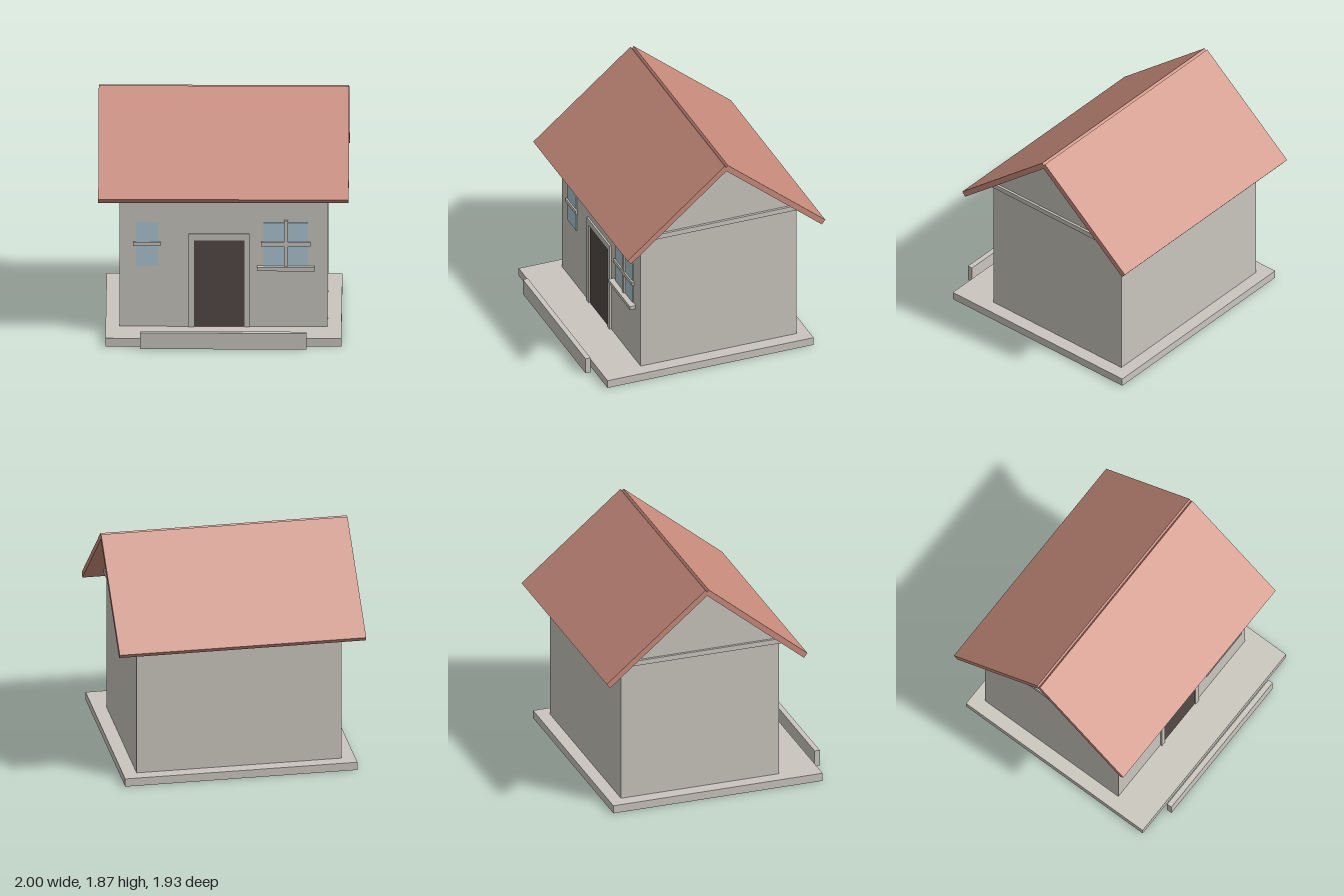
import * as THREE from 'three';

export function createModel() {
  const house = new THREE.Group();
  house.name = 'house';

  const material = (name, color) => {
    const m = new THREE.MeshStandardMaterial({ color });
    m.name = name;
    return m;
  };
  const stone = material('pale stone', 0xcac6be);
  const tile = material('terracotta', 0xc88b7c);
  const glass = material('pale blue glass', 0xaec8d4);
  const wood = material('dark wood', 0x544a46);

  // Box given by its limits on each axis
  const box = (name, mat, [x0, x1], [y0, y1], [z0, z1], parent = house) => {
    const mesh = new THREE.Mesh(new THREE.BoxGeometry(x1 - x0, y1 - y0, z1 - z0), mat);
    mesh.position.set((x0 + x1) / 2, (y0 + y1) / 2, (z0 + z1) / 2);
    mesh.name = name;
    parent.add(mesh);
    return mesh;
  };
  const group = (name) => {
    const g = new THREE.Group();
    g.name = name;
    house.add(g);
    return g;
  };

  const ridgeZ = -0.113, wallZ = 0.558;

  // Ground works
  box('plinth', stone, [-0.942, 0.942], [0, 0.067], [-0.888, 0.888]);
  box('frontStep', stone, [-0.665, 0.665], [0, 0.134], [0.922, 0.965]);

  // Walls, eaves band and gable prism
  box('walls', stone, [-0.831, 0.831], [0.067, 1.249], [-0.784, wallZ]);
  box('eavesBand', stone, [-0.851, 0.851], [1.228, 1.27], [-0.804, 0.578]);
  const triangle = new THREE.Shape([
    new THREE.Vector2(-0.671, 0), new THREE.Vector2(0.671, 0), new THREE.Vector2(0, 0.562),
  ]);
  const gableGeometry = new THREE.ExtrudeGeometry(triangle, { depth: 1.662, bevelEnabled: false });
  gableGeometry.translate(0, 0, -0.831).rotateY(Math.PI / 2);
  const gable = new THREE.Mesh(gableGeometry, stone);
  gable.position.set(0, 1.249, ridgeZ);
  gable.name = 'gable';
  house.add(gable);

  // Two roof slabs crossing at the ridge
  const roof = group('roof');
  for (const side of [1, -1]) {
    const slab = new THREE.Mesh(new THREE.BoxGeometry(2, 0.047, 1.089), tile);
    slab.position.set(0, 1.509, ridgeZ + side * 0.418);
    slab.rotation.x = side * 0.692;
    slab.name = side > 0 ? 'frontRoofSlab' : 'backRoofSlab';
    roof.add(slab);
  }

  // Door with its surround
  const door = group('door');
  box('doorPanel', wood, [-0.235, 0.166], [0, 0.787], [0.55, 0.562], door);
  box('doorPostRight', stone, [-0.278, -0.235], [0.067, 0.787], [0.55, 0.573], door);
  box('doorPostLeft', stone, [0.166, 0.209], [0.067, 0.787], [0.55, 0.573], door);
  box('doorLintel', stone, [-0.278, 0.209], [0.787, 0.842], [0.55, 0.573], door);

  // Narrow window with one crossbar
  const narrow = group('narrowWindow');
  box('narrowPane', glass, [-0.7, -0.52], [0.577, 0.934], [wallZ, 0.564], narrow);
  box('narrowCrossbar', stone, [-0.722, -0.502], [0.742, 0.774], [0.55, 0.577], narrow);

  // Wide window with a cross and a sill
  const wide = group('wideWindow');
  box('widePane', glass, [0.318, 0.676], [0.574, 0.934], [wallZ, 0.564], wide);
  box('wideMullion', stone, [0.481, 0.514], [0.574, 0.955], [0.55, 0.577], wide);
  box('wideCrossbar', stone, [0.298, 0.695], [0.742, 0.774], [0.55, 0.577], wide);
  box('windowSill', stone, [0.267, 0.727], [0.543, 0.574], [0.55, 0.608], wide);

  return house;
}
